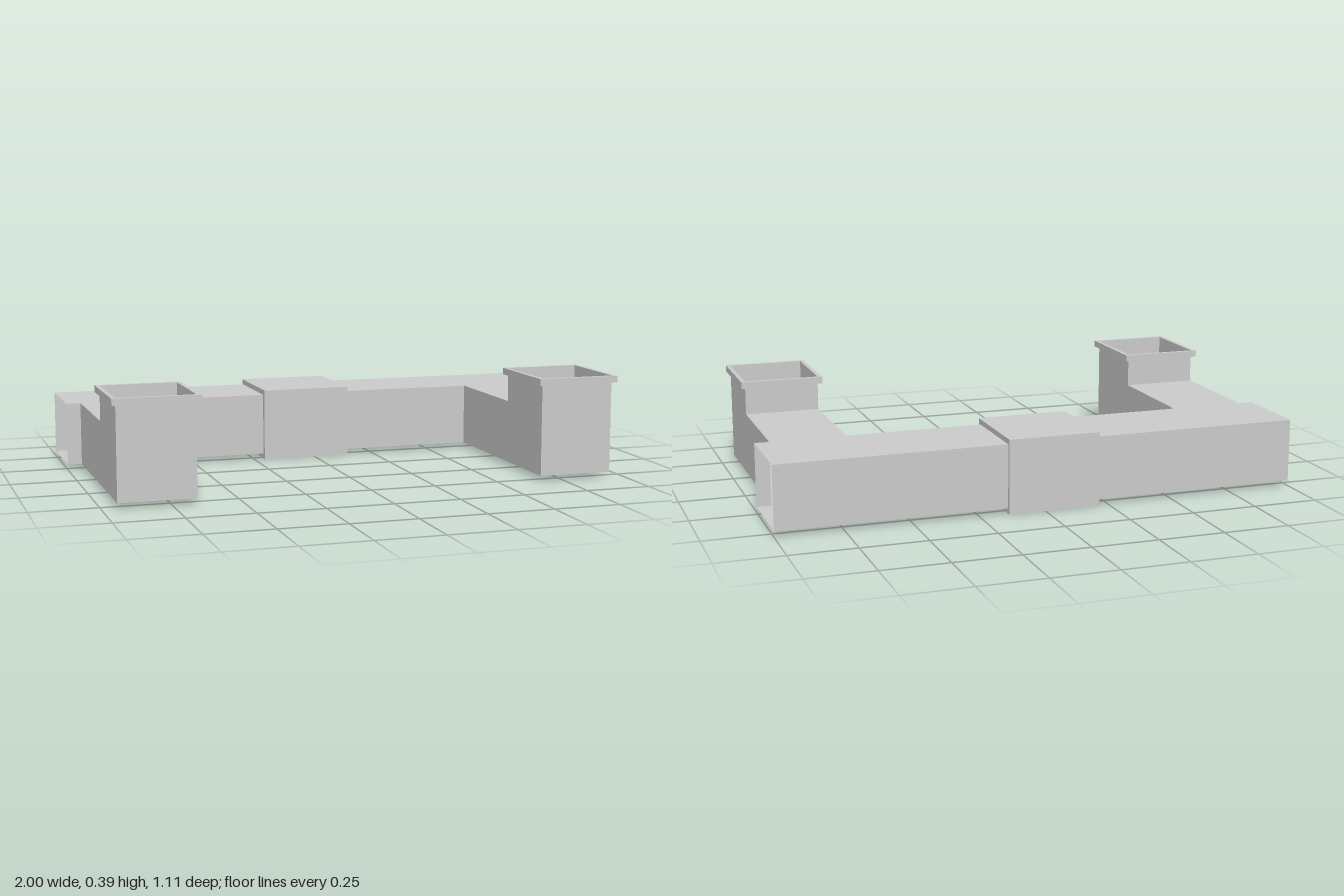
import * as THREE from 'three';

const sheet = new THREE.MeshStandardMaterial({ color: 0xcccccc, side: THREE.DoubleSide, flatShading: true });
const solid = new THREE.MeshStandardMaterial({ color: 0xcccccc, flatShading: true });

// Main duct and branch dimensions
const Y0 = 0.02, Y1 = 0.26, BACK = -0.54, FRONT = -0.225;
const IN = 0.66, OUT = 0.945, STACK = 0.225, END = 0.54, TOP = 0.365;
// Sleeve around the middle of the main duct, and the hatch in its floor
const SL = { x0: -0.21, x1: 0.14, y0: 0, y1: 0.28, z0: -0.555, z1: -0.205 };
const HATCH = { x0: -0.19, x1: 0.12, z0: -0.525, z1: -0.24 };

const planes = {
  x: (a, b, at) => [at, b, a], // a = z, b = y
  y: (a, b, at) => [a, at, b], // a = x, b = z
  z: (a, b, at) => [a, b, at], // a = x, b = y
};
const rect = (a0, b0, a1, b1) => [[a0, b0], [a1, b0], [a1, b1], [a0, b1]];
const toPath = (points, Type) => new Type(points.map(([a, b]) => new THREE.Vector2(a, b)));

// Thin flat panel lying across one axis
function panel(group, name, axis, at, outline, holes = []) {
  const shape = toPath(outline, THREE.Shape);
  shape.holes = holes.map((h) => toPath(h, THREE.Path));
  const geo = new THREE.ShapeGeometry(shape);
  const p = geo.attributes.position;
  for (let i = 0; i < p.count; i++) p.setXYZ(i, ...planes[axis](p.getX(i), p.getY(i), at));
  geo.computeVertexNormals();
  const mesh = new THREE.Mesh(geo, sheet);
  mesh.name = name;
  group.add(mesh);
}

// Solid ring or frame extruded from an outline with a hole
function frame(name, outer, inner, depth) {
  const shape = toPath(outer, THREE.Shape);
  shape.holes.push(toPath(inner, THREE.Path));
  const mesh = new THREE.Mesh(new THREE.ExtrudeGeometry(shape, { depth, bevelEnabled: false }), solid);
  mesh.name = name;
  return mesh;
}

function box(group, name, x0, x1, y0, y1, z0, z1) {
  const mesh = new THREE.Mesh(new THREE.BoxGeometry(x1 - x0, y1 - y0, z1 - z0), solid);
  mesh.position.set((x0 + x1) / 2, (y0 + y1) / 2, (z0 + z1) / 2);
  mesh.name = name;
  group.add(mesh);
}

// U-shaped plan whose legs reach forward to z = reach
const plan = (reach) => [
  [-1, BACK], [1, BACK], [1, FRONT], [OUT, FRONT], [OUT, reach], [IN, reach], [IN, FRONT],
  [-IN, FRONT], [-IN, reach], [-OUT, reach], [-OUT, FRONT], [-1, FRONT],
];

export function createModel() {
  const model = new THREE.Group();
  model.name = 'ventilationDuct';

  // Main duct, open at both ends
  const duct = new THREE.Group();
  duct.name = 'mainDuct';
  const hatchHole = rect(HATCH.x0, HATCH.z0, HATCH.x1, HATCH.z1);
  panel(duct, 'ductFloor', 'y', Y0, plan(END), [hatchHole]);
  panel(duct, 'ductRoof', 'y', Y1, plan(STACK));
  panel(duct, 'ductBackWall', 'z', BACK, rect(-1, Y0, 1, Y1));
  panel(duct, 'ductFrontWall', 'z', FRONT, rect(-IN, Y0, IN, Y1));
  model.add(duct);

  // Branches, each turning up into an open outlet
  for (const s of [-1, 1]) {
    const branch = new THREE.Group();
    branch.name = s > 0 ? 'leftBranch' : 'rightBranch';
    const side = [[FRONT, Y0], [END, Y0], [END, TOP], [STACK, TOP], [STACK, Y1], [FRONT, Y1]];
    panel(branch, 'innerWall', 'x', s * IN, side);
    panel(branch, 'outerWall', 'x', s * OUT, side);
    panel(branch, 'outletFrontWall', 'z', END, rect(s * IN, Y0, s * OUT, TOP));
    panel(branch, 'outletBackWall', 'z', STACK, rect(s * IN, Y1, s * OUT, TOP));
    panel(branch, 'ductEndStrip', 'z', FRONT, rect(s * OUT, Y0, s, Y1));
    const e = 0.016;
    const x0 = Math.min(s * IN, s * OUT), x1 = Math.max(s * IN, s * OUT);
    const rim = frame('outletRim', rect(x0 - e, STACK - e, x1 + e, END + e), rect(x0, STACK, x1, END), 0.025);
    rim.rotation.x = Math.PI / 2;
    rim.position.y = TOP + 0.025;
    branch.add(rim);
    model.add(branch);
  }

  // Sleeve: top and side walls, with a framed opening below
  const sleeve = new THREE.Group();
  sleeve.name = 'sleeve';
  box(sleeve, 'sleeveTop', SL.x0, SL.x1, Y1, SL.y1, SL.z0, SL.z1);
  box(sleeve, 'sleeveBack', SL.x0, SL.x1, Y0, Y1, SL.z0, BACK);
  box(sleeve, 'sleeveFront', SL.x0, SL.x1, Y0, Y1, FRONT, SL.z1);
  const bottom = frame('sleeveBottom', rect(SL.x0, SL.z0, SL.x1, SL.z1), hatchHole, Y0);
  bottom.rotation.x = Math.PI / 2;
  bottom.position.y = Y0;
  sleeve.add(bottom);

  // Hatch hinge strip and flap swung up into the duct
  panel(sleeve, 'hatchHinge', 'x', HATCH.x0, rect(HATCH.z0, Y0, HATCH.z1, 0.04));
  const length = 0.31, rise = 0.12;
  const flap = new THREE.Mesh(new THREE.PlaneGeometry(length, HATCH.z1 - HATCH.z0), sheet);
  flap.name = 'hatchFlap';
  flap.geometry.rotateX(-Math.PI / 2).translate(length / 2, 0, 0).rotateZ(Math.asin(rise / length));
  flap.position.set(HATCH.x0, 0.04, (HATCH.z0 + HATCH.z1) / 2);
  sleeve.add(flap);
  model.add(sleeve);

  return model;
}
